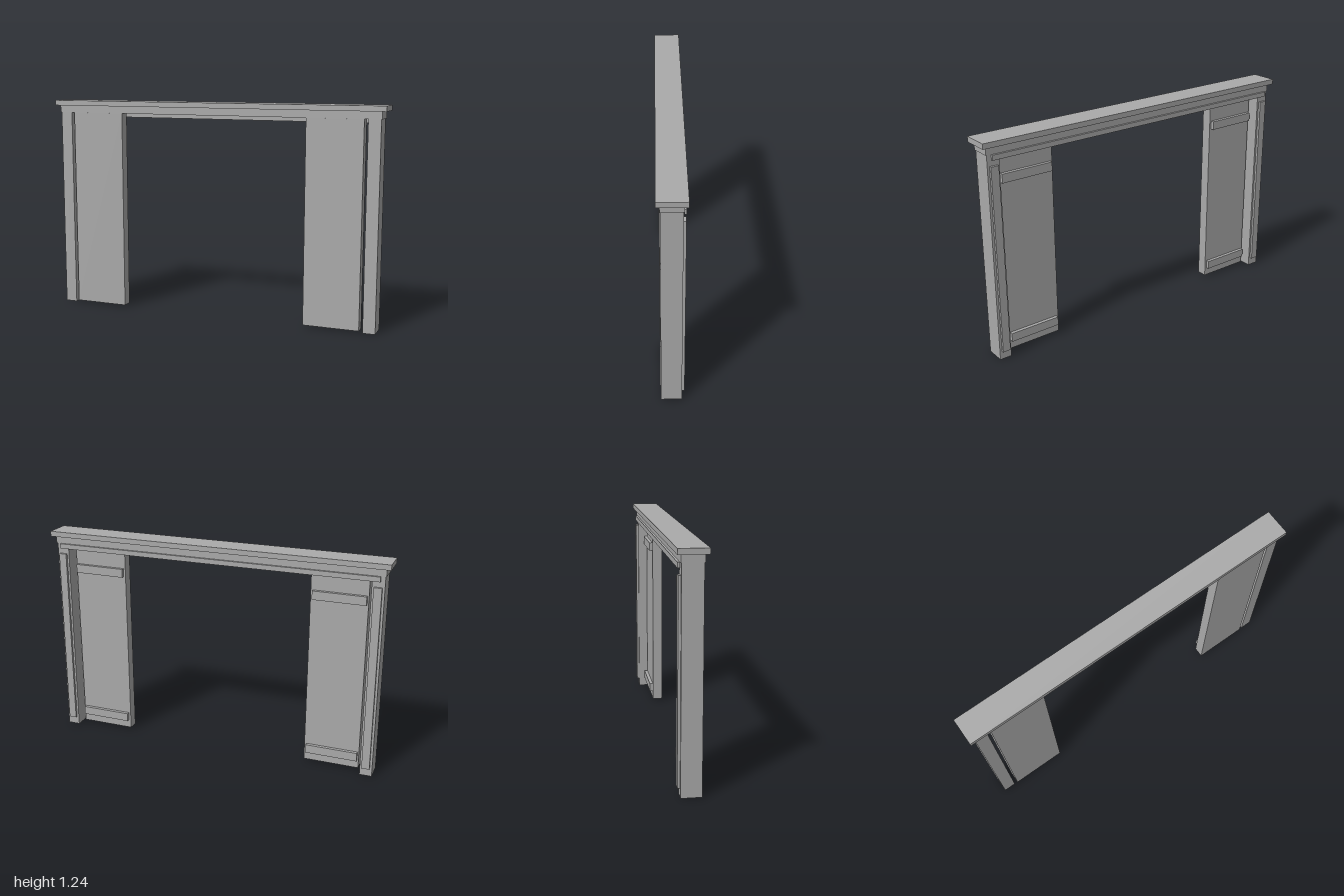
import * as THREE from 'three';

export function createModel() {
  const model = new THREE.Group();
  model.name = 'doorway';

  const grey = new THREE.MeshStandardMaterial({ color: 0xaaaaaa });
  grey.name = 'plain grey';

  // Box given by its lower and upper limits on each axis
  function slab(parent, name, [x0, x1], [y0, y1], [z0, z1]) {
    const geometry = new THREE.BoxGeometry(x1 - x0, y1 - y0, z1 - z0);
    geometry.translate((x0 + x1) / 2, (y0 + y1) / 2, (z0 + z1) / 2);
    const mesh = new THREE.Mesh(geometry, grey);
    mesh.name = name;
    parent.add(mesh);
  }

  // The same box on the left (+x) and the right (-x)
  function pair(name, [x0, x1], y, z) {
    slab(model, name + 'Left', [x0, x1], y, z);
    slab(model, name + 'Right', [-x1, -x0], y, z);
  }

  // Header: overhanging cap, lintel and rear moulding
  slab(model, 'cap', [-1, 1], [1.213, 1.243], [-0.077, 0.077]);
  slab(model, 'lintel', [-0.975, 0.975], [1.171, 1.213], [-0.057, 0.059]);
  slab(model, 'headerMoulding', [-0.946, 0.946], [1.143, 1.171], [-0.069, -0.057]);

  // Outer posts with a raised strip on the back
  pair('post', [0.9, 0.97], [0, 1.171], [-0.053, 0.056]);
  pair('postTrim', [0.912, 0.957], [0.048, 1.11], [-0.067, -0.053]);

  // Door panels, just clear of the posts and the floor
  pair('doorPanel', [0.56, 0.88], [0.01, 1.171], [0, 0.06]);

  // Cross battens on the back of each door
  for (const [name, y] of [['lowerBatten', 0.06], ['upperBatten', 0.99]]) {
    pair(name, [0.572, 0.872], [y, y + 0.05], [-0.02, 0]);
  }

  return model;
}
